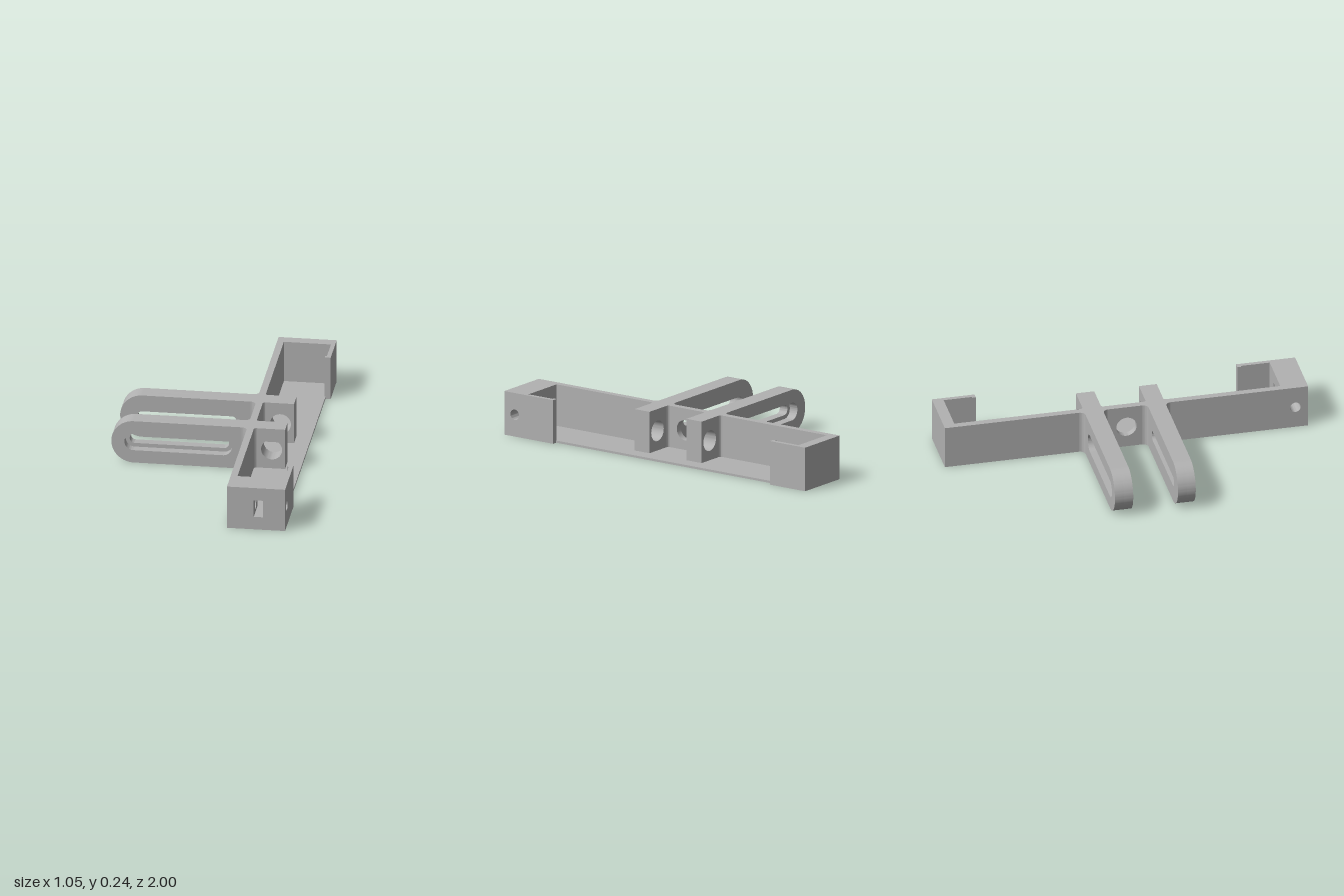
import * as THREE from 'three';
import { toCreasedNormals } from 'three/addons/utils/BufferGeometryUtils.js';

const H = 0.242, MID = H / 2;

export function createModel() {
  const group = new THREE.Group();
  const grey = new THREE.MeshStandardMaterial({ color: 0xb2b2b2 });
  grey.name = 'plain grey';

  const add = (name, geometry) => {
    const mesh = new THREE.Mesh(geometry, grey);
    mesh.name = name;
    group.add(mesh);
  };
  const box = (name, x0, x1, y0, y1, z0, z1) => add(name,
    new THREE.BoxGeometry(x1 - x0, y1 - y0, z1 - z0)
      .translate((x0 + x1) / 2, (y0 + y1) / 2, (z0 + z1) / 2));
  const extrude = (shape, depth) => toCreasedNormals(
    new THREE.ExtrudeGeometry(shape, { depth, bevelEnabled: false, curveSegments: 24 }), 0.6);
  const rect = (x0, x1, y0, y1) => new THREE.Shape([
    new THREE.Vector2(x0, y0), new THREE.Vector2(x1, y0),
    new THREE.Vector2(x1, y1), new THREE.Vector2(x0, y1)]);
  const circle = (x, y, r) => new THREE.Path().absarc(x, y, r, 0, Math.PI * 2, true);
  const slot = (x0, x1, r) => {
    const p = new THREE.Path();
    p.absarc(x1 - r, MID, r, -Math.PI / 2, Math.PI / 2, false);
    p.absarc(x0 + r, MID, r, Math.PI / 2, Math.PI * 1.5, false);
    p.closePath();
    return p;
  };
  // Slab facing x, with one round hole through it
  const drilledX = (name, x0, x1, z0, z1, holeZ, r) => {
    const s = rect(-z1, -z0, 0, H);
    s.holes.push(circle(-holeZ, MID, r));
    add(name, extrude(s, x1 - x0).rotateY(Math.PI / 2).translate(x0, 0, 0));
  };
  // Concave fillet standing in the corner at (x, z)
  const fillet = (x, z, sx, sz, r) => {
    const pts = [new THREE.Vector2(x, -z)];
    for (let i = 0; i <= 8; i++) {
      const a = (i / 8) * Math.PI / 2;
      pts.push(new THREE.Vector2(x + sx * r * (1 - Math.sin(a)), -z - sz * r * (1 - Math.cos(a))));
    }
    add('fillet', extrude(new THREE.Shape(pts), H).rotateX(-Math.PI / 2));
  };

  // Tray: floor, rear wall with central hole, solid far end wall
  box('floor', 0.21, 0.497, 0, 0.012, -1, 0.86);
  drilledX('rearWall', 0.21, 0.247, -0.94, 0.855, 0, 0.056);
  box('farEndWall', 0.21, 0.525, 0, H, -1, -0.94);

  // Near end block: screw hole along x crossing a nut slot along z
  drilledX('endBlockInner', 0.21, 0.355, 0.855, 1, 0.93, 0.029);
  drilledX('endBlockOuter', 0.405, 0.525, 0.855, 1, 0.93, 0.029);
  box('nutSlotFloor', 0.355, 0.405, 0, 0.073, 0.855, 1);
  box('nutSlotRoof', 0.355, 0.405, 0.17, H, 0.855, 1);

  // Retaining lips with small hooks at their tips
  box('farLip', 0.502, 0.525, 0, H, -0.94, -0.765);
  box('farLipHook', 0.493, 0.502, 0, H, -0.785, -0.765);
  box('nearLip', 0.502, 0.525, 0, H, 0.675, 0.855);
  box('nearLipHook', 0.493, 0.502, 0, H, 0.675, 0.695);
  box('farLipFoot', 0.497, 0.502, 0, 0.012, -0.94, -0.785);
  box('nearLipFoot', 0.497, 0.502, 0, 0.012, 0.695, 0.855);

  // Two slotted arms and the drilled posts behind them
  for (const [z0, z1, out] of [[-0.232, -0.131, -1], [0.115, 0.213, 1]]) {
    const half = (z1 - z0) / 2;
    for (const outer of [true, false]) {
      const s = new THREE.Shape();
      s.moveTo(0.21, 0);
      s.lineTo(0.21, H);
      s.lineTo(-0.527 + MID, H);
      s.absarc(-0.527 + MID, MID, MID, Math.PI / 2, Math.PI * 1.5, false);
      s.closePath();
      s.holes.push(outer ? slot(-0.456, 0.127, 0.049) : slot(-0.434, 0.105, 0.028));
      const start = (out > 0) === outer ? z0 + half : z0;
      add(outer ? 'armCounterboredHalf' : 'armSlottedHalf', extrude(s, half).translate(0, 0, start));
    }
    const post = rect(0.247, 0.415, 0, H);
    post.holes.push(circle(0.342, MID, 0.057));
    add('post', extrude(post, z1 - z0).translate(0, 0, z0));

    for (const [z, sz] of [[z0, -1], [z1, 1]]) {
      fillet(0.21, z, -1, sz, 0.03);
      fillet(0.247, z, 1, sz, 0.014);
    }
  }
  return group;
}
